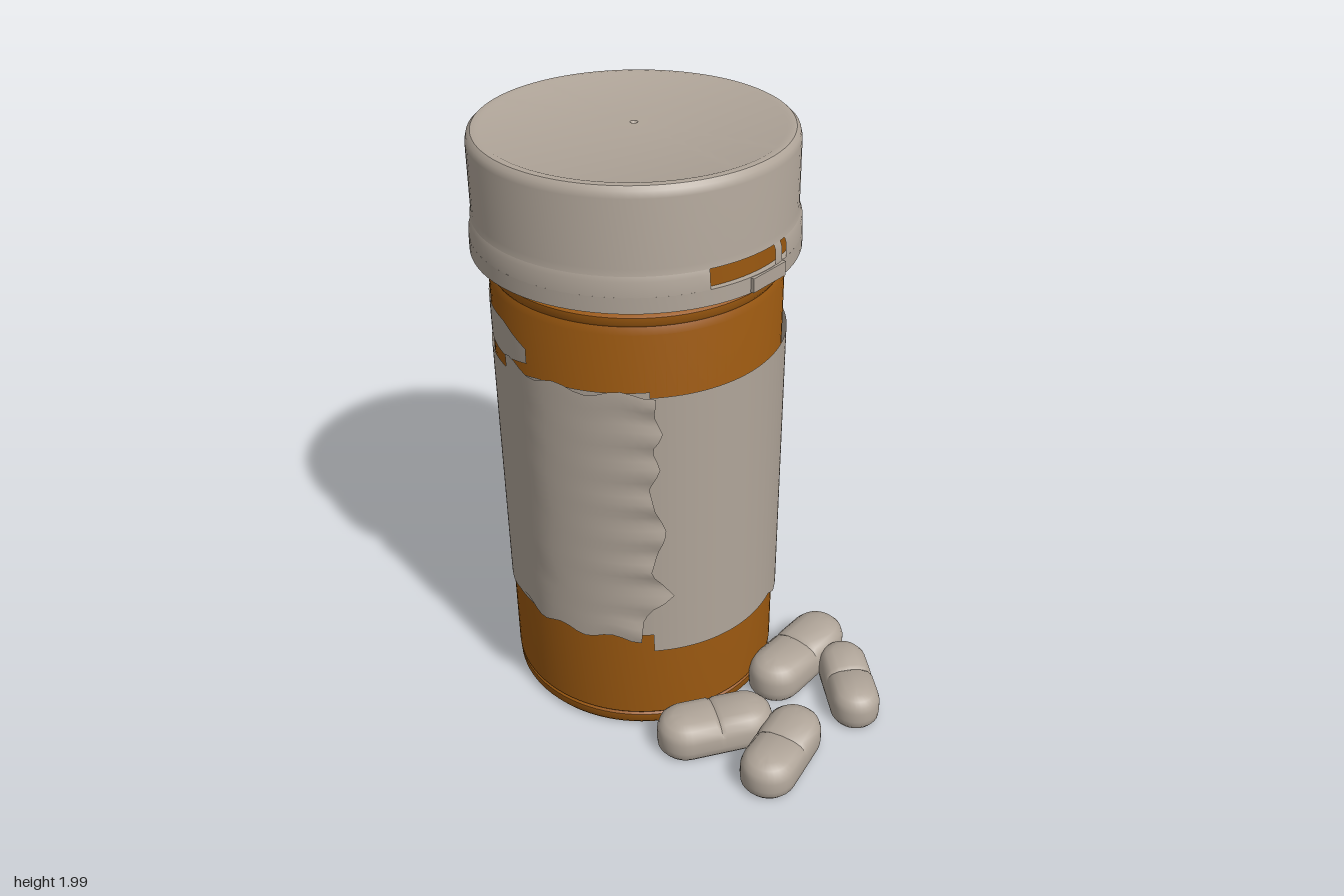
import * as THREE from 'three';
import { toCreasedNormals } from 'three/addons/utils/BufferGeometryUtils.js';

const CZ = -0.192; // bottle axis
const rad = THREE.MathUtils.degToRad;

const grey = new THREE.MeshStandardMaterial({ color: 0xb0a599, side: THREE.DoubleSide });
grey.name = 'warm grey';
const amber = new THREE.MeshStandardMaterial({ color: 0x9a5810, side: THREE.DoubleSide });
amber.name = 'amber';

function add(parent, name, geo, mat) {
  const m = new THREE.Mesh(geo, mat);
  m.name = name;
  parent.add(m);
  return m;
}

// Surface from a rule fn(u, v) -> [x, y, z], u and v are integer steps
function grid(nu, nv, fn) {
  const pos = [], idx = [];
  for (let v = 0; v <= nv; v++) for (let u = 0; u <= nu; u++) pos.push(...fn(u, v));
  for (let v = 0; v < nv; v++) for (let u = 0; u < nu; u++) {
    const a = v * (nu + 1) + u, b = a + 1, d = a + nu + 1, c = d + 1;
    idx.push(a, b, d, b, c, d);
  }
  const g = new THREE.BufferGeometry();
  g.setAttribute('position', new THREE.Float32BufferAttribute(pos, 3));
  g.setIndex(idx);
  g.computeVertexNormals();
  return g;
}

// Point on the bottle's side: angle in degrees, 0 at the front, 90 at +x
const around = (deg, r, y) => [r * Math.sin(rad(deg)), y, r * Math.cos(rad(deg))];

// Piecewise linear lookup in [[key, value], ...]
function lerpTable(t, k) {
  if (k <= t[0][0]) return t[0][1];
  for (let i = 1; i < t.length; i++) {
    if (k <= t[i][0]) {
      const f = (k - t[i - 1][0]) / (t[i][0] - t[i - 1][0]);
      return t[i - 1][1] + f * (t[i][1] - t[i - 1][1]);
    }
  }
  return t[t.length - 1][1];
}

function lathe(points, start = 0, length = 360) {
  const g = new THREE.LatheGeometry(points.map(p => new THREE.Vector2(...p)),
    Math.max(2, Math.ceil(length / 4)), rad(start), rad(length));
  return toCreasedNormals(g, 0.6);
}

const labelRadius = deg => 0.466 + 0.021 * Math.max(0, Math.sin(rad(deg))) ** 2;

function makeBottle() {
  const bottle = new THREE.Group();
  bottle.name = 'bottle';

  add(bottle, 'body', lathe([
    [0, 0.02], [0.4, 0.02], [0.42, 0.01], [0.445, 0.01], [0.456, 0.025], [0.458, 0.055],
    [0.452, 0.062], [0.459, 0.07], [0.459, 1.535], [0.45, 1.558], [0.455, 1.566],
    [0.455, 1.588], [0.44, 1.597], [0.415, 1.602], [0.415, 1.8], [0, 1.8],
  ]), amber);

  // Wrapped label with an uneven lower edge and a step at the back
  const bottom = [[-46, 0.35], [18, 0.345], [27, 0.3], [38, 0.3], [50, 0.285], [65, 0.25],
    [90, 0.205], [116, 0.165], [130, 0.15], [132, 0.45], [150, 0.46], [165, 0.42], [205, 0.42],
    [215, 0.39], [235, 0.39], [245, 0.41], [314, 0.42]];
  const top = [[-46, 1.33], [130, 1.33], [166, 1.325], [168, 1.45], [172, 1.46], [174, 1.33],
    [190, 1.31], [250, 1.31], [270, 1.34], [314, 1.35]];
  add(bottle, 'label', grid(180, 12, (u, v) => {
    const a = -46 + u * 2, y0 = lerpTable(bottom, a), y1 = lerpTable(top, a);
    return around(a, labelRadius(a), y0 + (y1 - y0) * v / 12);
  }), grey);

  // Loose label end with a torn, lifted edge
  const torn = [[0.41, 309], [0.5, 310], [0.56, 314], [0.6, 322], [0.64, 318], [0.7, 313],
    [0.78, 316], [0.86, 319], [0.94, 315], [1.02, 313], [1.1, 317], [1.16, 314],
    [1.22, 318], [1.28, 315], [1.36, 316]];
  add(bottle, 'labelFlap', grid(16, 36, (u, v) => {
    const f = u / 16;
    const y = 0.425 + 0.93 * v / 36 + 0.012 * Math.sin(u * 1.1) * Math.abs(v / 18 - 1) ** 4;
    const a = 250 + (lerpTable(torn, y) - 250) * f;
    const r = 0.467 + 0.021 * Math.min(1, f * 3) + f ** 6 * (0.008 + 0.008 * Math.sin(v * 1.3));
    return around(a, r, y);
  }), grey);

  // Bare spot in the label on the right-hand side: [height, front z, back z]
  const spot = [[0.63, -0.12, -0.2], [0.65, 0.03, -0.22], [0.69, 0.07, -0.235], [0.8, 0.072, -0.27],
    [0.93, 0.068, -0.27], [0.97, 0.066, -0.2], [1.02, 0.064, -0.12], [1.1, 0.06, -0.11],
    [1.14, 0.055, -0.095], [1.165, 0.045, -0.065]];
  add(bottle, 'bareSpot', grid(14, spot.length - 1, (u, v) => {
    const [y, z0, z1] = spot[v];
    const z = z0 + (z1 - z0) * u / 14 - CZ;
    const a = THREE.MathUtils.radToDeg(Math.acos(z / 0.487));
    return around(a, labelRadius(a) + 0.003, y);
  }), amber);

  // Scrap of label left under the shoulder at the back
  const scrapTop = [[166, 1.43], [172, 1.46], [190, 1.46], [215, 1.48], [250, 1.47], [264, 1.42]];
  const scrapBottom = [[166, 1.38], [184, 1.35], [250, 1.345], [264, 1.37]];
  add(bottle, 'labelScrap', grid(40, 2, (u, v) => {
    const a = 166 + 98 * u / 40, y0 = lerpTable(scrapBottom, a), y1 = lerpTable(scrapTop, a);
    return around(a, 0.463, y0 + (y1 - y0) * v / 2);
  }), grey);
  return bottle;
}

function makeCap() {
  const cap = new THREE.Group();
  cap.name = 'cap';

  // Hollow cap with a recess around the rim
  add(cap, 'capShell', lathe([
    [0, 1.8], [0.455, 1.8], [0.465, 1.63], [0.509, 1.63], [0.508, 1.68], [0.486, 1.68],
    [0.486, 1.74], [0.5, 1.74], [0.496, 1.76], [0.495, 1.965], [0.49, 1.985], [0.478, 1.996],
    [0.46, 1.998], [0.45, 1.994], [0.03, 1.996], [0.012, 1.996], [0, 1.985],
  ]), grey);
  add(cap, 'rimRecess', lathe([[0.49, 1.68], [0.49, 1.741]]), amber);

  // Rim pieces between the slots, in degrees
  const slots = [[-26, 2], [6, 9], [48, 53], [83, 99], [103, 106], [125, 133],
    [154, 161], [187, 194], [206, 230]];
  slots.forEach(([, end], i) => {
    const next = i + 1 < slots.length ? slots[i + 1][0] : slots[0][0] + 360;
    add(cap, 'rimPiece', lathe([[0.488, 1.679], [0.508, 1.679], [0.505, 1.725], [0.499, 1.742], [0.488, 1.742]],
      end, next - end), grey);
  });

  // Snap tabs front and back
  for (const [deg, r] of [[-2, 0.503], [182, 0.505]]) {
    const tab = add(cap, 'rimTab', new THREE.BoxGeometry(0.15, 0.045, 0.022), grey);
    tab.position.set(...around(deg, r, 1.656));
    tab.rotation.y = rad(deg);
  }
  const ridge = add(cap, 'backTabUpper', new THREE.BoxGeometry(0.15, 0.05, 0.022), grey);
  ridge.position.set(...around(182, 0.503, 1.7));
  ridge.rotation.y = rad(182);
  return cap;
}

// Caplet: inset stadium outlines stacked upward, with a score across the top
function pillGeometry(halfLength, w, height) {
  const a = halfLength - w, outline = [];
  const arc = (cx, from) => {
    for (let i = 0; i <= 14; i++) {
      const t = rad(from + i * 180 / 14);
      outline.push([cx, Math.cos(t), Math.sin(t)]);
    }
  };
  arc(a, -90);
  for (const x of [0.014, 0, -0.014]) outline.push([x, 0, 1]);
  arc(-a, 90);
  for (const x of [-0.014, 0, 0.014]) outline.push([x, 0, -1]);
  outline.push(outline[0]);
  const profile = [[0, 0], [0.86, 0], [0.98, 0.12], [1, 0.3], [0.99, 0.58], [0.92, 0.75],
    [0.74, 0.89], [0.45, 0.97], [0, 1]];
  const g = grid(outline.length - 1, profile.length - 1, (u, v) => {
    const [cx, c, s] = outline[u], [k, h] = profile[v];
    const score = cx === 0 && v > 4 ? 0.009 : 0;
    return [cx + c * w * k, h * height - score, -s * w * k];
  });
  return toCreasedNormals(g, 0.7);
}

export function createModel() {
  const model = new THREE.Group();
  model.name = 'pillBottleWithPills';
  const bottle = makeBottle(), cap = makeCap();
  bottle.position.z = cap.position.z = CZ;
  model.add(bottle, cap);

  // x, z, half length, half width, height, turn in degrees
  const pills = [
    [-0.25, 0.322, 0.2, 0.097, 0.13, -36],
    [0.205, 0.345, 0.218, 0.096, 0.135, -2],
    [-0.205, 0.563, 0.188, 0.094, 0.125, 9],
    [0.2, 0.57, 0.178, 0.084, 0.125, 46],
  ];
  for (const [x, z, l, w, h, turn] of pills) {
    const pill = add(model, 'pill', pillGeometry(l, w, h), grey);
    pill.position.set(x, 0.01, z);
    pill.rotation.y = rad(turn);
  }
  return model;
}
